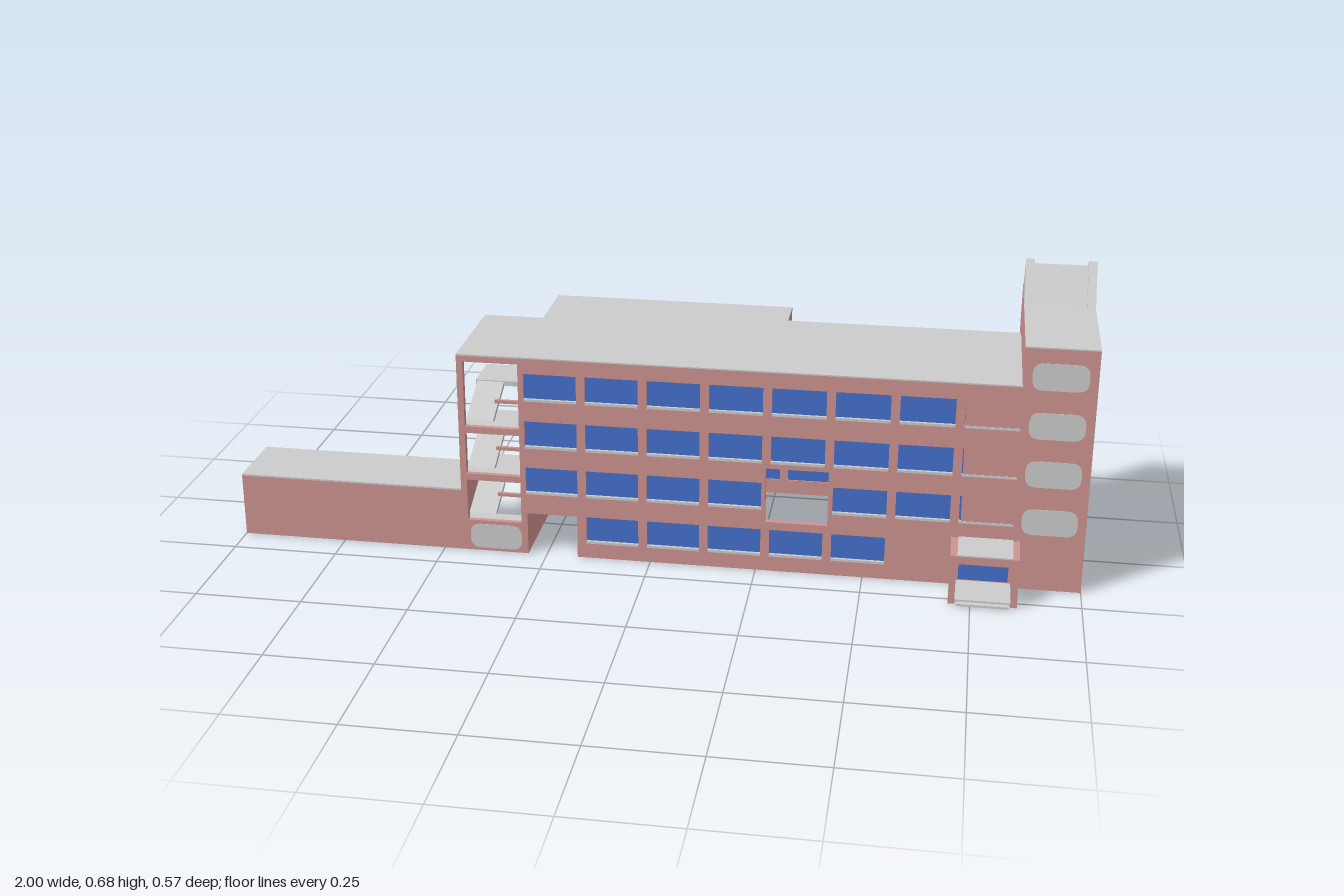
import * as THREE from 'three';

const mat = (name, color) => Object.assign(new THREE.MeshStandardMaterial({ color }), { name });

export function createModel() {
  const brick = mat('brick', 0xcd9290);
  const glass = mat('glass', 0x4470cc);
  const concrete = mat('concrete', 0xcbcbcb);
  const lawn = mat('lawn', 0xb0c0a2);
  const model = new THREE.Group();
  model.name = 'building';

  const add = (name, geo, m) => {
    const mesh = new THREE.Mesh(geo, m);
    mesh.name = name;
    model.add(mesh);
    return mesh;
  };
  // Box given by its limits
  const box = (name, m, x0, x1, y0, y1, z0, z1) => {
    const b = add(name, new THREE.BoxGeometry(x1 - x0, y1 - y0, z1 - z0), m);
    b.position.set((x0 + x1) / 2, (y0 + y1) / 2, (z0 + z1) / 2);
    return b;
  };
  const poly = (pts) => new THREE.Shape(pts.map(([x, y]) => new THREE.Vector2(x, y)));
  const extrude = (shape, depth) => new THREE.ExtrudeGeometry(shape, { depth, bevelEnabled: false, curveSegments: 5 });
  // Upright wall with rectangular holes [x0, x1, y0, y1]
  const wall = (name, pts, holes, z, depth) => {
    const s = poly(pts);
    for (const [a, b, c, d] of holes) s.holes.push(poly([[a, c], [a, d], [b, d], [b, c]]));
    const w = add(name, extrude(s, depth), brick);
    w.position.z = z;
    return w;
  };

  const F = 0.172, B = -0.287, T = 0.014, H = 0.495;
  const L = -0.31, R = 0.838;
  const rowY = [0.037, 0.155, 0.272, 0.39];
  const colX = (c) => -0.297 + c * 0.1445;
  const win = (c, r) => [colX(c), colX(c) + 0.124, rowY[r], rowY[r] + 0.068];

  // Window lists of the two long walls
  const frontWins = [], backWins = [];
  for (let r = 0; r < 4; r++) for (let c = 0; c < 8; c++) {
    const overHole = r === 1 && c === 4;
    if (!overHole && (r > 0 || (c > 0 && c < 6))) frontWins.push(win(c, r));
    if (r === 3 ? c < 4 : r > 0 || (c > 0 && c < 5)) backWins.push(win(c, r));
  }
  const P0 = -0.295, P1 = -0.175, PH = 0.105;   // passage
  const bay = [0.27, 0.415, 0.125, 0.26];       // open bay
  const door = [0.72, 0.834, 0.01, 0.11];

  wall('frontWall', [[L, 0], [P0, 0], [P0, PH], [P1, PH], [P1, 0], [R, 0], [R, H], [L, H]],
    [...frontWins, bay, door], F - T, T);

  // Back wall: passage, three ground openings, lower part under the terrace
  const terraceY = 0.37, setZ = -0.185, setX = 0.28;
  const backPts = [[L, 0], [P0, 0], [P0, PH], [P1, PH], [P1, 0]];
  for (let c = 5; c < 8; c++) {
    const a = colX(c), b = Math.min(a + 0.124, 0.83);
    backPts.push([a, 0], [a, 0.107], [b, 0.107], [b, 0]);
  }
  backPts.push([R, 0], [R, terraceY], [setX, terraceY], [setX, H], [L, H]);
  wall('backWall', backPts, backWins, B, T);

  // Panes and sills
  for (const [a, b, c, d] of frontWins) {
    box('frontPane', glass, a, b, c, d, F - 0.01, F - 0.006);
    box('frontSill', concrete, a, b, c, c + 0.006, F - 0.006, F + 0.001);
  }
  for (const [a, b, c, d] of backWins) {
    box('backPane', glass, a, b, c, d, B + 0.006, B + 0.01);
    box('backSill', concrete, a, b, c, c + 0.006, B - 0.001, B + 0.006);
  }
  box('entranceDoor', glass, ...door, F - 0.01, F - 0.006);

  // End wall with the stair doors
  box('endWall', brick, L, P0, 0, H - 0.001, B + T, F - T);
  for (let i = 0; i < 3; i++) {
    const y = 0.137 + i * 0.118;
    box('stairDoor', glass, L - 0.003, L + 0.001, y, y + 0.085, -0.1, -0.02);
  }

  // Passage through the building
  box('passageWall', brick, P1, P1 + 0.01, 0, PH, B + T, F - T);
  box('passageCeiling', brick, P0, P1 + 0.01, PH, PH + 0.008, B + T, F - T);

  // Recessed ground floor at the back
  box('recessWall', brick, 0.415, R, 0, 0.117, setZ, setZ + 0.008);
  box('recessCeiling', concrete, 0.415, R, 0.109, 0.117, B + T, setZ);
  box('recessFloor', concrete, 0.415, R, 0, 0.006, B + T, setZ);
  box('recessEnd', brick, 0.415, 0.423, 0, 0.115, B + T, setZ);
  for (let c = 5; c < 8; c++) box('recessPane', glass, colX(c) + 0.01, colX(c) + 0.115, 0.03, 0.1, setZ - 0.003, setZ);

  // Terrace with its set-back glazed wall and railing
  box('terrace', lawn, setX, R, terraceY - 0.006, terraceY + 0.001, B, setZ);
  box('terraceWall', brick, setX, R, terraceY - 0.006, H - 0.001, setZ, setZ + T);
  box('terraceGlazing', glass, setX + 0.03, R - 0.04, terraceY + 0.015, 0.465, setZ - 0.003, setZ);
  box('terraceSide', brick, setX - T, setX, terraceY - 0.006, H - 0.001, B + T, setZ + T);
  for (let i = 0; i <= 32; i++) {
    const x = setX + 0.005 + i * 0.017;
    box('baluster', concrete, x, x + 0.004, terraceY, terraceY + 0.02, B, B + 0.004);
  }
  box('handrail', concrete, setX, R, terraceY + 0.02, terraceY + 0.024, B, B + 0.004);

  // Main roof, covering the stair as well
  const roofPts = [[-0.455, 0.11], [-0.455, -F], [R, -F], [R, -setZ], [setX, -setZ], [setX, -B], [L, -B], [L, 0.11]];
  const roof = add('mainRoof', extrude(poly(roofPts), 0.004), concrete);
  roof.rotation.x = -Math.PI / 2;
  roof.position.y = H - 0.001;

  // Open stair: frame, landings and flights
  const S = -0.455, M = -0.3825;
  box('stairColumn', brick, S, S + 0.015, 0, H - 0.001, F - 0.015, F);
  box('stairFrontBeam', brick, S, L, 0.48, H - 0.001, F - 0.015, F);
  box('stairSideBeam', brick, S, S + 0.015, 0.48, H - 0.001, -0.11, F - 0.015);
  box('stairBackBeam', brick, S + 0.015, L, 0.48, H - 0.001, -0.11, -0.095);
  box('stairBaseWall', brick, S, L, 0, 0.075, F - 0.012, F);
  const flight = (x0, x1, yBack, yFront) => {
    const z0 = -0.005, z1 = 0.125, t = 0.012;
    const g = extrude(poly([[-z1, yFront - t], [-z0, yBack - t], [-z0, yBack], [-z1, yFront]]), x1 - x0);
    const f = add('stairFlight', g, concrete);
    f.rotation.y = Math.PI / 2;
    f.position.x = x0;
  };
  for (let i = 0; i < 3; i++) {
    const y = 0.13 + i * 0.12, mid = y - 0.06;
    box('landing', concrete, S, L, y - 0.012, y, -0.11, 0);
    box('midLanding', concrete, S, L, mid - 0.008, mid + 0.004, 0.12, F - 0.012);
    box('landingEdge', brick, S, L, mid - 0.008, mid + 0.008, F - 0.012, F);
    box('stairRail', brick, M, L, mid + 0.045, mid + 0.053, 0.1, 0.108);
    flight(S + 0.004, M - 0.003, y, mid);
    flight(M + 0.003, L, i ? y - 0.12 : 0.012, mid);
  }

  // Low wing
  box('lowWing', brick, -1, S, 0, 0.153, 0, F);
  box('lowWingRoof', concrete, -1, S, 0.153, 0.157, 0, F);

  // Corner tower with a windowed side wall
  const TX = 0.836, TH = 0.588;
  box('tower', brick, TX, 0.988, 0, TH, B, F);
  box('towerRoof', concrete, TX, 1, TH, TH + 0.003, B, F);
  const sideWins = [0.018, 0.135, 0.253, 0.37].map((y) => [0.026, 0.083, y, y + 0.084]);
  const side = wall('towerSideWall', [[-F, 0], [-B, 0], [-B, TH], [-F, TH]], sideWins, 0, 0.012);
  side.rotation.y = Math.PI / 2;
  side.position.x = 0.988;
  for (const [a, b, c, d] of sideWins) {
    box('sidePane', glass, 0.987, 0.991, c, d, -b, -a);
    box('sideSill', concrete, 0.99, 1, c, c + 0.005, -b, -a);
  }

  // Gabled lantern on the tower: two end gables and a lower roof between
  const gable = (name, x0, x1, drop) => {
    const g = extrude(poly([[0.112 + drop, TH], [0.267 - drop, TH], [0.19, 0.682 - drop]]), x1 - x0);
    const o = add(name, g, concrete);
    o.rotation.y = Math.PI / 2;
    o.position.x = x0;
  };
  gable('gableEnd', TX, 0.856, 0);
  gable('gableEnd', 0.98, 1, 0);
  gable('gableRoof', 0.856, 0.98, 0.011);

  // Rounded pale panels
  const panel = (w, h, x, y, z, turn) => {
    const r = h * 0.4, s = new THREE.Shape();
    s.moveTo(-w / 2 + r, -h / 2);
    s.lineTo(w / 2 - r, -h / 2).quadraticCurveTo(w / 2, -h / 2, w / 2, -h / 2 + r);
    s.lineTo(w / 2, h / 2 - r).quadraticCurveTo(w / 2, h / 2, w / 2 - r, h / 2);
    s.lineTo(-w / 2 + r, h / 2).quadraticCurveTo(-w / 2, h / 2, -w / 2, h / 2 - r);
    s.lineTo(-w / 2, -h / 2 + r).quadraticCurveTo(-w / 2, -h / 2, -w / 2 + r, -h / 2);
    const p = add('roundedPanel', extrude(s, 0.002), concrete);
    p.position.set(x, y, z);
    p.rotation.y = turn;
  };
  for (const y of [0.17, 0.288, 0.405, 0.522]) panel(0.125, 0.064, 0.918, y, F - 0.001, 0);
  panel(0.104, 0.06, 0.999, 0.524, -0.215, Math.PI / 2);
  panel(0.125, 0.062, 0.918, 0.524, B + 0.001, Math.PI);
  panel(0.125, 0.062, -0.3725, 0.038, F - 0.001, 0);

  // Entrance porch
  box('porchCanopy', brick, 0.7, 0.855, 0.1, 0.119, F, 0.272);
  box('porchRoof', concrete, 0.716, 0.84, 0.119, 0.122, F, 0.272);
  for (const x of [0.7, 0.84]) box('porchColumn', brick, x, x + 0.015, 0, 0.1, 0.252, 0.272);
  box('porchFloor', concrete, 0.715, 0.84, 0.003, 0.011, F, 0.272);
  box('porchStep', concrete, 0.72, 0.836, 0.002, 0.007, 0.272, 0.286);

  return model;
}
